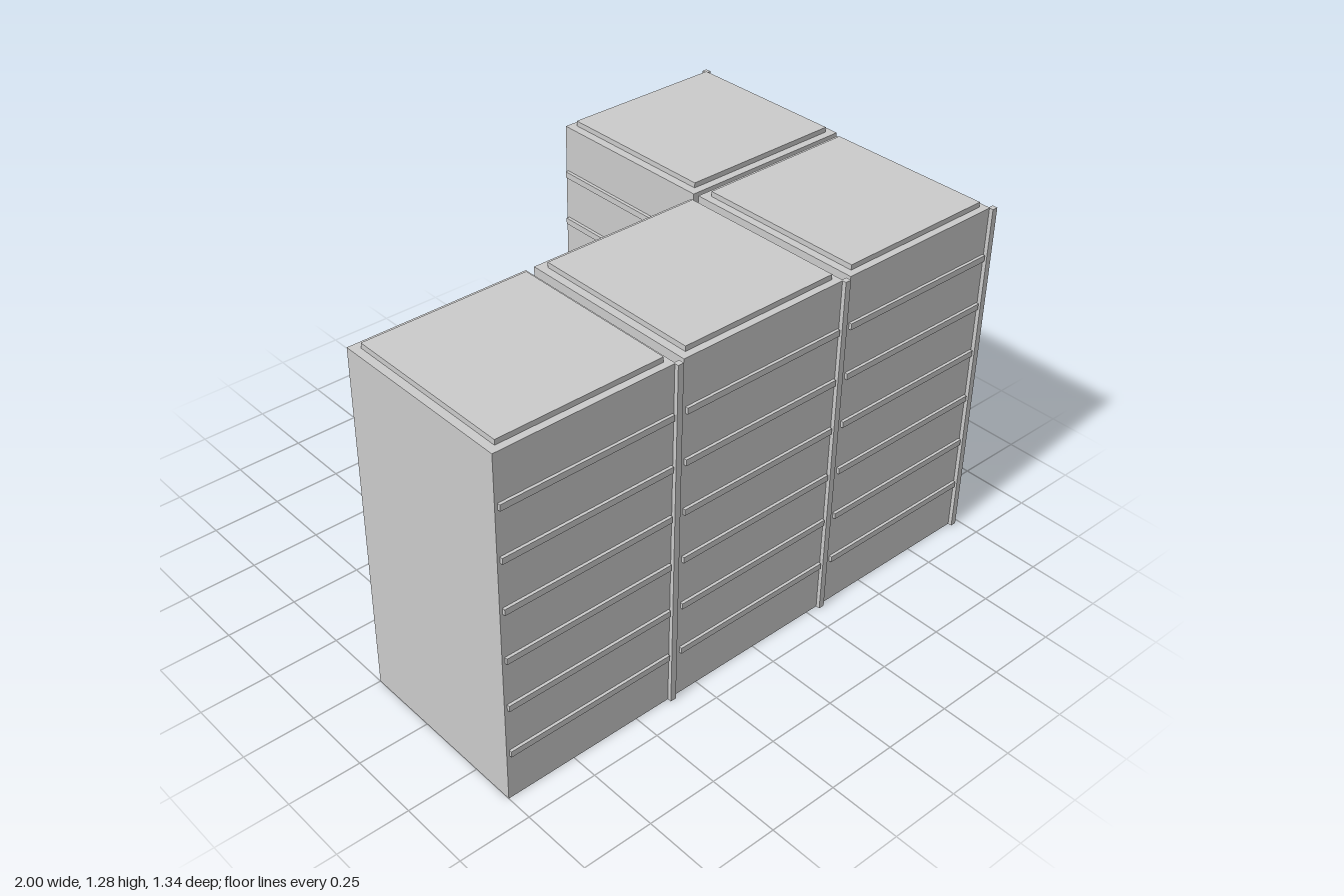
import * as THREE from 'three';

const W = 0.634, D = 0.655, H = 1.26;

const grey = new THREE.MeshStandardMaterial({ color: 0xcccccc });
grey.name = 'painted steel grey';

// Box given by its extents on each axis
function addBox(parent, name, [x0, x1], [y0, y1], [z0, z1]) {
  const mesh = new THREE.Mesh(new THREE.BoxGeometry(x1 - x0, y1 - y0, z1 - z0), grey);
  mesh.position.set((x0 + x1) / 2, (y0 + y1) / 2, (z0 + z1) / 2);
  mesh.name = name;
  parent.add(mesh);
}

function createCabinet(name) {
  const cabinet = new THREE.Group();
  cabinet.name = name;
  const w = W / 2, d = D / 2;

  addBox(cabinet, 'body', [-w, w], [0, H], [-d, d]);
  addBox(cabinet, 'topPanel', [-w + 0.028, w - 0.022], [H, H + 0.018], [-d + 0.03, d - 0.025]);

  // Upright post on the front corner
  addBox(cabinet, 'cornerPost', [w - 0.003, w + 0.018], [0, H], [d - 0.005, d + 0.014]);

  // Horizontal ribs on the front and back
  for (let i = 0; i < 6; i++) {
    const y = 0.182 + i * 0.1805;
    addBox(cabinet, 'frontRib', [-w + 0.01, w - 0.008], [y - 0.011, y + 0.011], [d, d + 0.01]);
    addBox(cabinet, 'backRib', [-w + 0.012, w - 0.01], [y - 0.011, y + 0.011], [-d - 0.012, -d]);
  }
  return cabinet;
}

export function createModel() {
  const model = new THREE.Group();
  model.name = 'cabinets';

  // Front row of three
  [-0.683, -0.018, 0.648].forEach((x, i) => {
    const cabinet = createCabinet('rowCabinet' + (i + 1));
    cabinet.position.set(x, 0, 0.3275);
    model.add(cabinet);
  });

  // Fourth cabinet turned to face the model's left
  const side = createCabinet('turnedCabinet');
  side.rotation.y = Math.PI / 2;
  side.position.set(0.655, 0, -0.335);
  model.add(side);
  return model;
}
